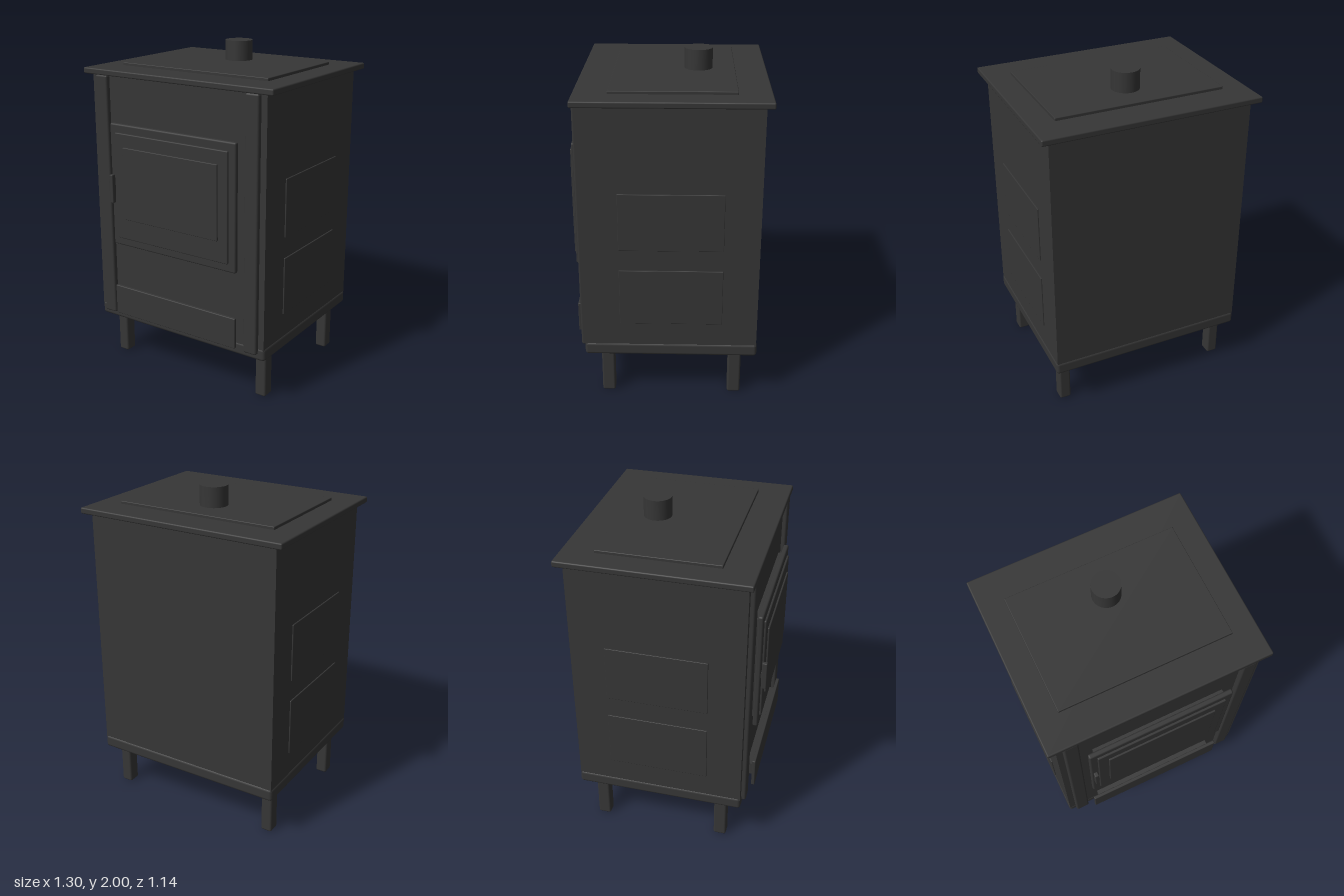
import * as THREE from 'three';
import { RoundedBoxGeometry } from 'three/addons/geometries/RoundedBoxGeometry.js';

export function createModel() {
  const stove = new THREE.Group();
  stove.name = 'woodStove';
  const castIron = new THREE.MeshStandardMaterial({ color: 0x363636 });
  castIron.name = 'castIron';

  // Box given by its limits on each axis, with softened edges if r > 0
  function box(name, [x0, x1], [y0, y1], [z0, z1], r = 0) {
    const size = [x1 - x0, y1 - y0, z1 - z0];
    const geometry = r ? new RoundedBoxGeometry(...size, 2, r) : new THREE.BoxGeometry(...size);
    const mesh = new THREE.Mesh(geometry, castIron);
    mesh.name = name;
    mesh.position.set((x0 + x1) / 2, (y0 + y1) / 2, (z0 + z1) / 2);
    stove.add(mesh);
    return mesh;
  }
  const span = (c, half) => [c - half, c + half];

  // Firebox body
  box('body', [-0.6, 0.6], [0.35, 1.835], [-0.53, 0.48]);

  // Base tray with a bevelled lower edge
  const base = box('base', [-0.605, 0.605], [0.285, 0.365], [-0.535, 0.483], 0.018);
  base.geometry.computeBoundingBox();

  // Lid, hot plate and flue collar
  box('lid', [-0.65, 0.65], [1.828, 1.864], [-0.571, 0.51], 0.008);
  box('hotPlate', [-0.505, 0.505], [1.855, 1.881], [-0.384, 0.32], 0.004);
  const flue = new THREE.Mesh(new THREE.CylinderGeometry(0.082, 0.082, 0.14, 48), castIron);
  flue.name = 'flueCollar';
  flue.position.set(0, 1.93, -0.172);
  stove.add(flue);

  // Paired parts on both sides
  for (const side of [-1, 1]) {
    const label = side > 0 ? 'left' : 'right';
    box(label + 'Pilaster', span(side * 0.52, 0.043), [0.325, 1.83], [0.465, 0.508], 0.012);
    box(label + 'UpperSidePanel', span(side * 0.598, 0.009), [0.98, 1.325], [-0.325, 0.272], 0.003);
    box(label + 'LowerSidePanel', span(side * 0.598, 0.009), [0.505, 0.853], [-0.325, 0.272], 0.003);
    box(label + 'FrontLeg', span(side * 0.525, 0.035), [0, 0.288], span(0.352, 0.039), 0.012);
    box(label + 'BackLeg', span(side * 0.525, 0.035), [0, 0.288], span(-0.407, 0.039), 0.012);
  }

  // Stepped door with window and handle
  box('doorMount', [-0.4, 0.4], [0.85, 1.52], [0.47, 0.515]);
  box('doorFrame', [-0.44, 0.44], [0.81, 1.56], [0.505, 0.535], 0.01);
  box('doorInnerFrame', [-0.395, 0.395], [0.86, 1.51], [0.52, 0.547], 0.006);
  box('doorWindow', [-0.332, 0.332], [0.988, 1.43], [0.535, 0.557], 0.004);
  box('doorHandle', [-0.43, 0.0 - 0.406], [1.08, 1.255], [0.541, 0.57], 0.005);
  box('handleMount', [-0.424, -0.412], [1.15, 1.185], [0.53, 0.545]);

  // Ash drawer front on its hidden runner
  box('ashDrawerRunner', [-0.4, 0.4], [0.4, 0.48], [0.47, 0.522]);
  box('ashDrawer', [-0.44, 0.44], [0.348, 0.535], [0.517, 0.538], 0.005);

  return stove;
}
